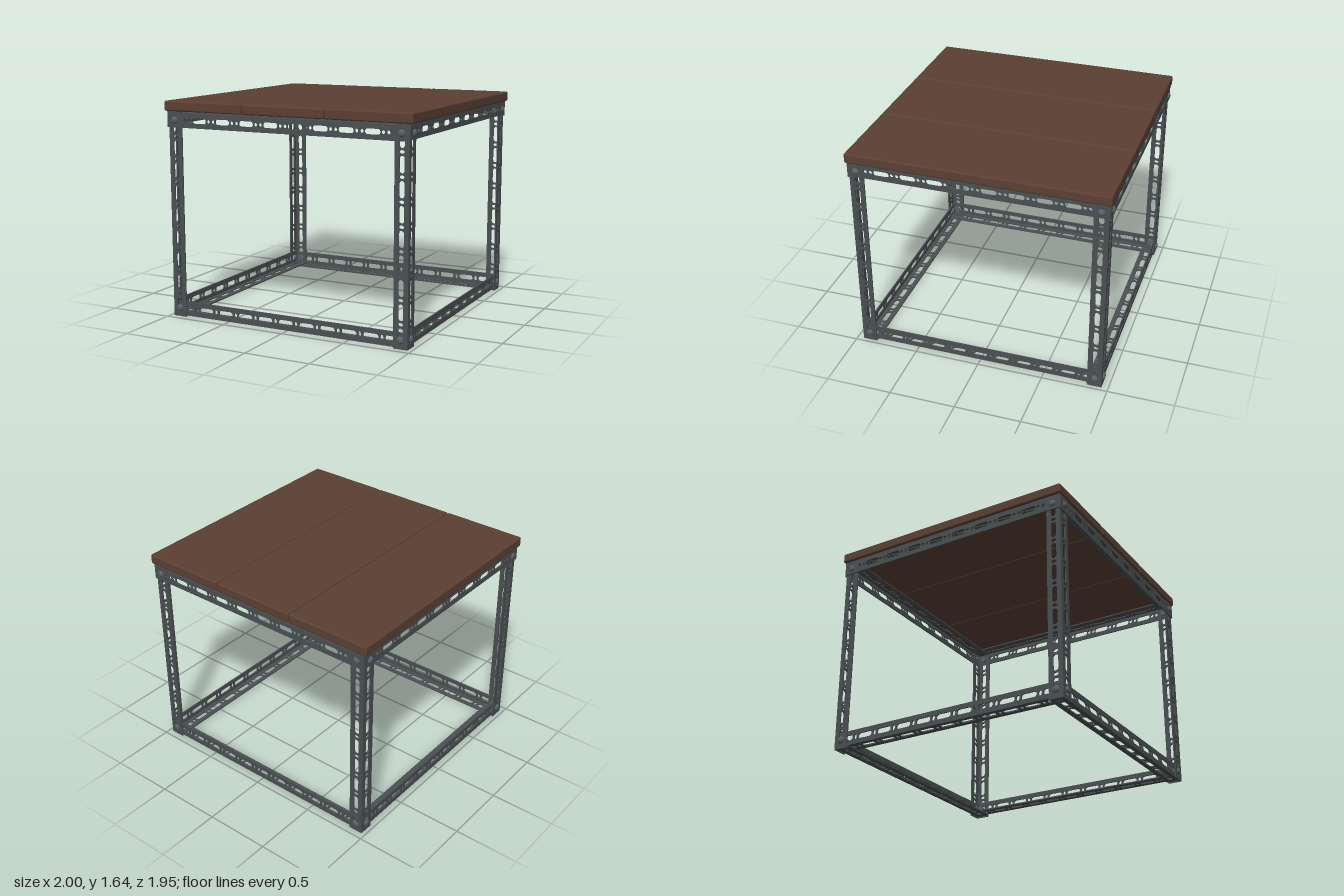
import * as THREE from 'three';
import { RoundedBoxGeometry } from 'three/addons/geometries/RoundedBoxGeometry.js';

const W = 0.11, T = 0.01; // flange width and sheet thickness

// Rounded slot outline, long along x
function slot(cx, cy, length, width) {
  const r = width / 2, h = Math.max(length / 2 - r, 0.0005);
  const path = new THREE.Path();
  path.absarc(cx + h, cy, r, -Math.PI / 2, Math.PI / 2, false);
  path.absarc(cx - h, cy, r, Math.PI / 2, Math.PI * 1.5, false);
  path.closePath();
  return path;
}

// Perforated strip along x, y from 0 to W, outer face at z = 0
function stripGeometry(length, period, pairs) {
  const h = length / 2;
  const shape = new THREE.Shape([
    new THREE.Vector2(-h, 0), new THREE.Vector2(h, 0),
    new THREE.Vector2(h, W), new THREE.Vector2(-h, W),
  ]);
  const start = pairs ? period / 2 : 0; // a slot or a web sits at the middle
  const limit = h - 0.08;
  for (const s of [-1, 1]) {
    for (let c = start; c < limit; c += period) {
      if (c > 0 || s > 0) shape.holes.push(slot(s * c, W / 2, 0.12, 0.04));
      const gap = c + period / 2;
      if (gap > limit + 0.03) continue;
      if (pairs) {
        shape.holes.push(slot(s * (gap - 0.02), W / 2, 0.026, 0.026));
        if (gap + 0.04 < limit) shape.holes.push(slot(s * (gap + 0.02), W / 2, 0.026, 0.026));
      } else {
        // short cross hole: wide across the strip, narrow along it
        const oval = new THREE.Path();
        oval.absellipse(s * gap, W / 2, 0.013, 0.02, 0, Math.PI * 2, false, 0);
        shape.holes.push(oval);
      }
    }
    // centre web of the paired pattern
    if (pairs) shape.holes.push(slot(s * 0.02, W / 2, 0.026, 0.026));
  }
  const geo = new THREE.ExtrudeGeometry(shape, { depth: T, bevelEnabled: false, curveSegments: 5 });
  return geo.translate(0, 0, -T);
}

// Slotted angle iron along x: flanges rise to +y and run back to -z
function angleIron(name, length, period, pairs, material) {
  const g = new THREE.Group();
  g.name = name;
  const geo = stripGeometry(length, period, pairs);
  const upright = new THREE.Mesh(geo, material);
  upright.name = 'uprightFlange';
  const flat = new THREE.Mesh(geo, material);
  flat.name = 'flatFlange';
  flat.rotation.x = -Math.PI / 2;
  flat.position.y = T;
  g.add(upright, flat);
  return g;
}

export function createModel() {
  const model = new THREE.Group();
  model.name = 'table';
  const wood = new THREE.MeshStandardMaterial({ color: 0x5c4033 });
  wood.name = 'dark wood';
  const steel = new THREE.MeshStandardMaterial({ color: 0x4a5052 });
  steel.name = 'grey steel';
  const boltSteel = new THREE.MeshStandardMaterial({ color: 0x596267 });
  boltSteel.name = 'bolt steel';

  // Table top: three planks running front to back
  const plankGeo = new RoundedBoxGeometry(0.663, 0.075, 1.94, 2, 0.012);
  for (const i of [-1, 0, 1]) {
    const plank = new THREE.Mesh(plankGeo, wood);
    plank.name = 'plank';
    plank.position.set(i * 0.6685, 1.6025, 0);
    model.add(plank);
  }

  // Bolt with a domed head facing +z and a hexagonal nut behind
  const headGeo = new THREE.SphereGeometry(0.027, 14, 5, 0, Math.PI * 2, 0, Math.PI / 2);
  headGeo.scale(1, 0.6, 1).rotateX(Math.PI / 2);
  const nutGeo = new THREE.CylinderGeometry(0.026, 0.026, 0.018, 6);
  nutGeo.rotateX(Math.PI / 2).translate(0, 0, -0.029);
  function bolt(x, y, z, turn) {
    const g = new THREE.Group();
    g.name = 'bolt';
    const head = new THREE.Mesh(headGeo, boltSteel);
    head.name = 'boltHead';
    const nut = new THREE.Mesh(nutGeo, boltSteel);
    nut.name = 'nut';
    g.add(head, nut);
    g.position.set(x, y, z);
    g.rotation.y = turn;
    return g;
  }

  // Each quarter turn adds one side's rails and one corner post
  for (let k = 0; k < 4; k++) {
    const odd = k % 2;
    const hx = odd ? 0.95 : 0.97, hz = odd ? 0.97 : 0.95;
    const side = new THREE.Group();
    side.name = 'frameSide';
    side.rotation.y = k * Math.PI / 2;

    const post = angleIron('cornerPost', 1.55, 0.171, false, steel);
    post.rotation.z = Math.PI / 2;
    post.position.set(hx, 0.775, hz);

    // Top rail wraps outside the posts, flat flange under the planks
    const topRail = angleIron('topRail', 2 * hx + 0.016, 0.2, true, steel);
    topRail.rotation.x = -Math.PI / 2;
    topRail.position.set(0, odd ? 1.565 : 1.555, hz + T);

    // Bottom rail sits inside the posts, flat flange at the floor
    const bottomRail = angleIron('bottomRail', 2 * hx - 0.022, 0.171, false, steel);
    bottomRail.position.set(0, odd ? 0.018 : 0.008, hz - T);
    side.add(post, topRail, bottomRail);

    for (const s of [-1, 1]) {
      side.add(bolt(s * (hx - W / 2), 1.5, hz + T, 0));
      side.add(bolt(s * (hx - W / 2), 0.067, hz, 0));
    }
    model.add(side);
  }
  return model;
}
